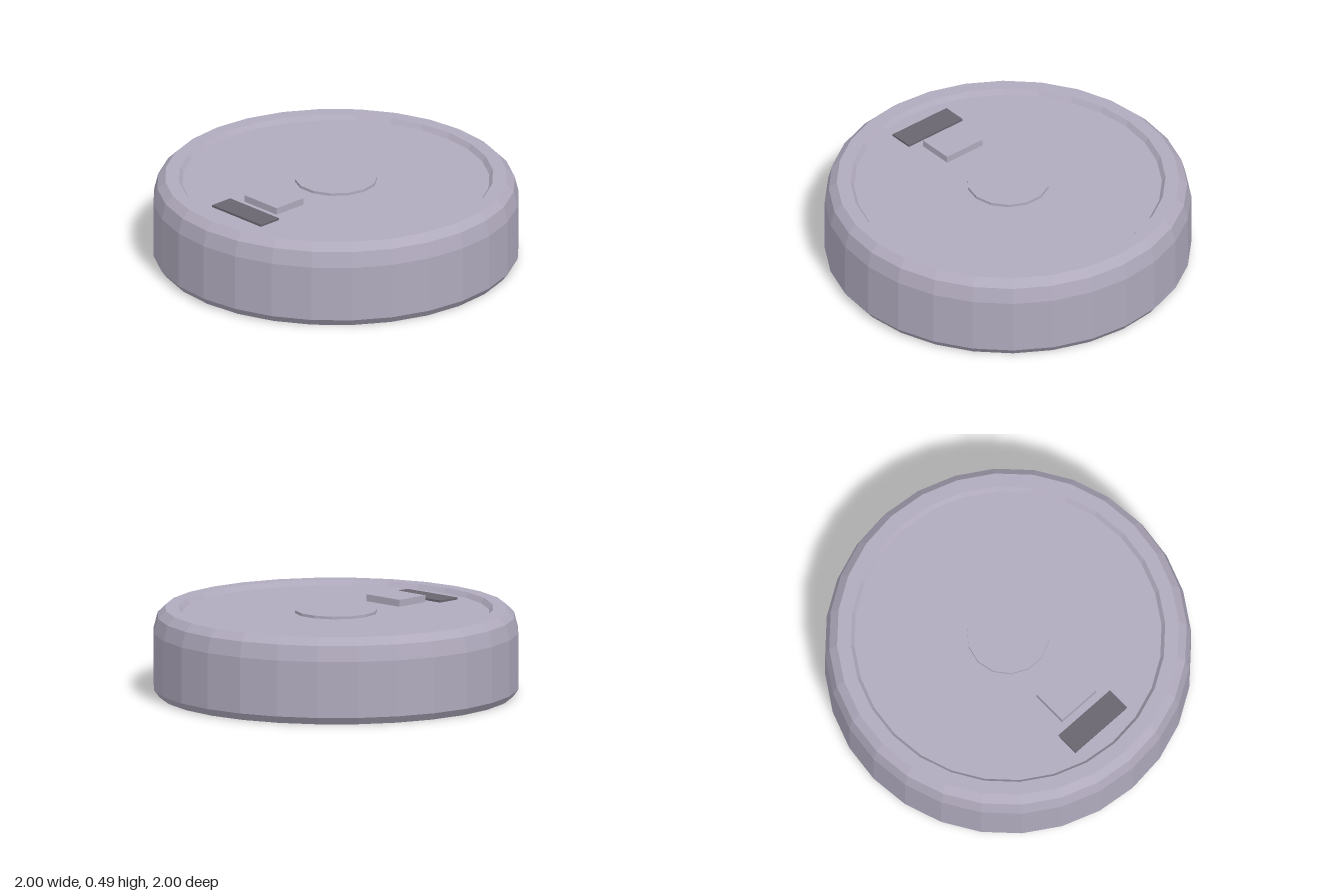
import * as THREE from 'three';

export function createModel() {
  const model = new THREE.Group();
  model.name = 'roundDevice';

  const paleLilac = new THREE.MeshStandardMaterial({ color: 0xb0aabd, flatShading: true });
  paleLilac.name = 'pale lilac';
  const darkGrey = new THREE.MeshStandardMaterial({ color: 0x6a6570, flatShading: true });
  darkGrey.name = 'dark grey';

  const floorY = 0.45;

  function add(name, geometry, material, x, y, z) {
    const mesh = new THREE.Mesh(geometry, material);
    mesh.name = name;
    mesh.position.set(x, y, z);
    model.add(mesh);
    return mesh;
  }

  // Hollow casing: inner ceiling and wall, bevelled outside, rim, recessed top
  const profile = [
    [0, 0.4], [0.968, 0.4], [0.97, 0], [1, 0.04], [1, 0.35],
    [0.978, 0.435], [0.935, 0.477], [0.86, 0.477], [0.84, floorY], [0, floorY],
  ].map(([r, y]) => new THREE.Vector2(r, y));
  add('casing', new THREE.LatheGeometry(profile, 28), paleLilac, 0, 0, 0);

  // Round cap in the middle of the top
  const cap = add('centreCap', new THREE.CylinderGeometry(0.225, 0.225, 0.015, 14), paleLilac, 0, floorY + 0.0075, 0);
  cap.rotation.y = Math.PI / 2;

  // Raised button and dark display bar towards the front
  add('button', new THREE.BoxGeometry(0.252, 0.038, 0.204), paleLilac, 0, floorY + 0.019, 0.467);
  add('displayBar', new THREE.BoxGeometry(0.384, 0.012, 0.136), darkGrey, -0.002, floorY + 0.006, 0.681);

  return model;
}
